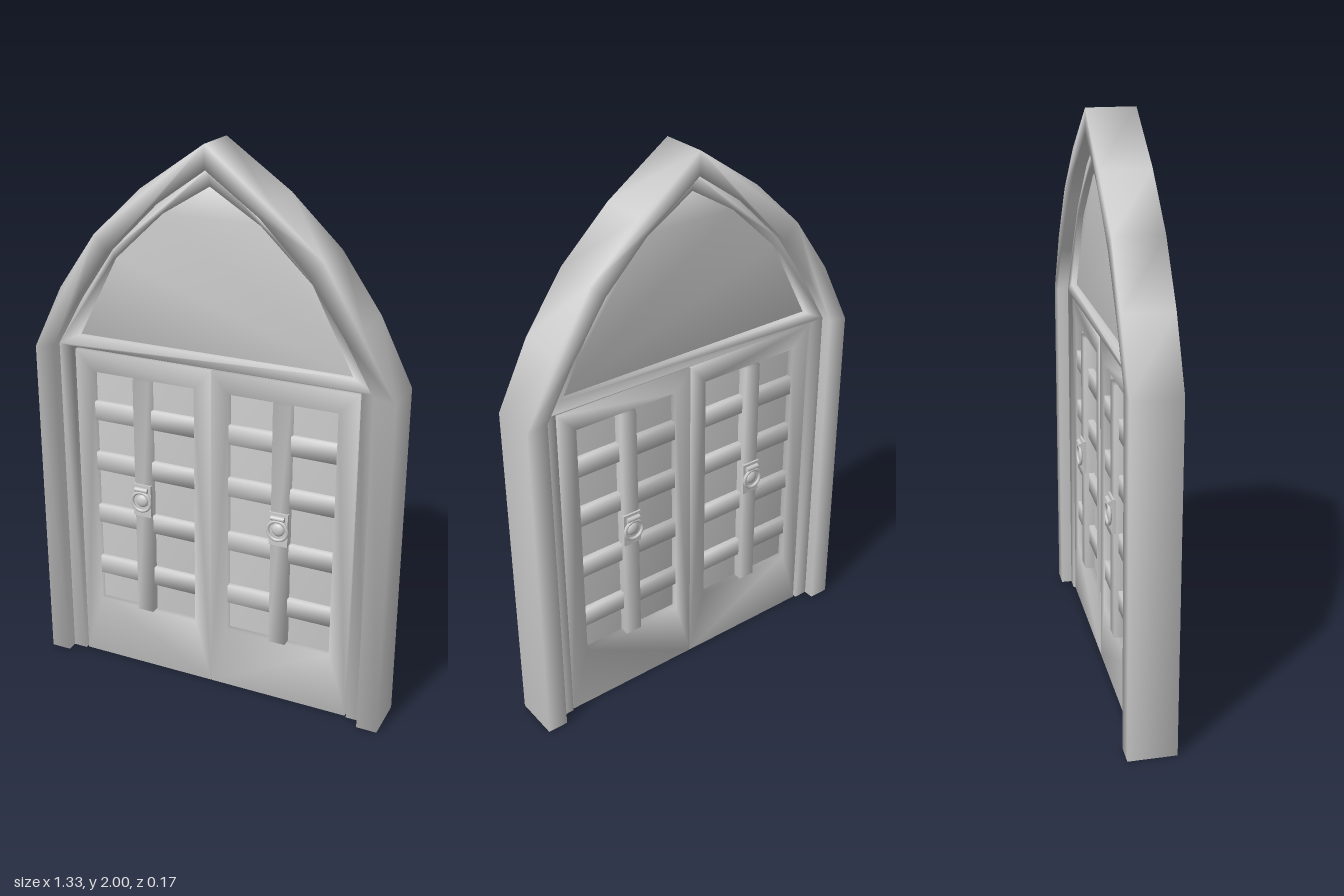
import * as THREE from 'three';
import { mergeVertices } from 'three/addons/utils/BufferGeometryUtils.js';

const material = new THREE.MeshStandardMaterial({ color: 0xcccccc });

// Weld corners so the normals blend softly across edges
function soften(geometry) {
  geometry.deleteAttribute('uv');
  geometry.deleteAttribute('normal');
  const welded = mergeVertices(geometry, 1e-4);
  welded.computeVertexNormals();
  return welded;
}

function add(parent, name, geometry, x = 0, y = 0, z = 0) {
  const mesh = new THREE.Mesh(geometry, material);
  mesh.name = name;
  mesh.position.set(x, y, z);
  parent.add(mesh);
  return mesh;
}

const points = (list) => list.map(([x, y]) => new THREE.Vector2(x, y));

// Slab of an outline, centred on z = 0
function slab(outline, halfDepth, hole) {
  const shape = new THREE.Shape(points(outline));
  if (hole) shape.holes.push(new THREE.Path(points(hole)));
  const g = new THREE.ExtrudeGeometry(shape, { depth: halfDepth * 2, bevelEnabled: false });
  g.translate(0, 0, -halfDepth);
  return soften(g);
}

const softBox = (w, h, d) => soften(new THREE.BoxGeometry(w, h, d));
const rect = (x0, y0, x1, y1) => [[x0, y0], [x1, y0], [x1, y1], [x0, y1]];

// Right half of an arch, from foot to apex, mirrored to the other side
const mirrored = (half) => [
  ...half,
  ...half.slice().reverse().filter(([x]) => x > 0).map(([x, y]) => [-x, y]),
];

const outerArch = [[0.665, 0], [0.665, 1.24], [0.55, 1.47], [0.41, 1.67], [0.23, 1.84], [0, 2]];
const innerArch = [[0.59, 0], [0.59, 1.25], [0.487, 1.43], [0.36, 1.615], [0.19, 1.785], [0, 1.92]];
const recessArch = [[0.51, 1.29], [0.36, 1.58], [0.18, 1.75], [0, 1.86]];

// Ring pull with its mount, facing +z
function ringPull() {
  const pull = new THREE.Group();
  pull.name = 'ringPull';
  add(pull, 'mountPlate', new THREE.BoxGeometry(0.07, 0.125, 0.012), 0, 0, 0);
  add(pull, 'hinge', new THREE.CylinderGeometry(0.009, 0.009, 0.05, 10).rotateZ(Math.PI / 2), 0, 0.045, 0.011);
  add(pull, 'ring', new THREE.TorusGeometry(0.036, 0.006, 8, 24), 0, 0, 0.014);
  add(pull, 'knob', new THREE.SphereGeometry(0.024, 16, 10).scale(1, 1, 0.5), 0, 0, 0.006);
  return pull;
}

// One door leaf, spanning x = 0 to 0.53
function doorLeaf() {
  const door = new THREE.Group();
  const opening = rect(0.065, 0.24, 0.46, 1.16);
  add(door, 'doorFrame', slab(rect(0.001, 0, 0.53, 1.235), 0.038, opening));
  add(door, 'doorPanel', softBox(0.4, 0.925, 0.03), 0.2625, 0.7, 0);
  add(door, 'uprightBar', softBox(0.062, 0.92, 0.1), 0.265, 0.7, 0);
  for (const y of [1.01, 0.8125, 0.6, 0.385]) {
    add(door, 'crossBar', softBox(0.395, 0.07, 0.07), 0.2625, y, 0);
  }
  for (const side of [0, 1]) {
    const pull = ringPull();
    pull.position.set(0.265, 0.7, side ? -0.051 : 0.051);
    pull.rotation.y = side * Math.PI;
    door.add(pull);
  }
  return door;
}

export function createModel() {
  const model = new THREE.Group();
  model.name = 'archedDoorway';

  // Heavy outer arch, open at the bottom
  const archRing = [...mirrored(outerArch), ...mirrored(innerArch).reverse()];
  add(model, 'outerArch', slab(archRing, 0.084));

  // Jambs and the arched head above the doors, with its recess
  const surround = [
    ...mirrored(innerArch),
    [-0.537, 0], [-0.537, 1.245], [0.537, 1.245], [0.537, 0],
  ];
  add(model, 'innerSurround', slab(surround, 0.045, mirrored(recessArch)));
  add(model, 'archPanel', slab(mirrored(recessArch), 0.025));

  // Pair of doors
  const left = doorLeaf();
  left.name = 'leftDoor';
  const right = doorLeaf();
  right.name = 'rightDoor';
  right.rotation.y = Math.PI;
  model.add(left, right);

  return model;
}
